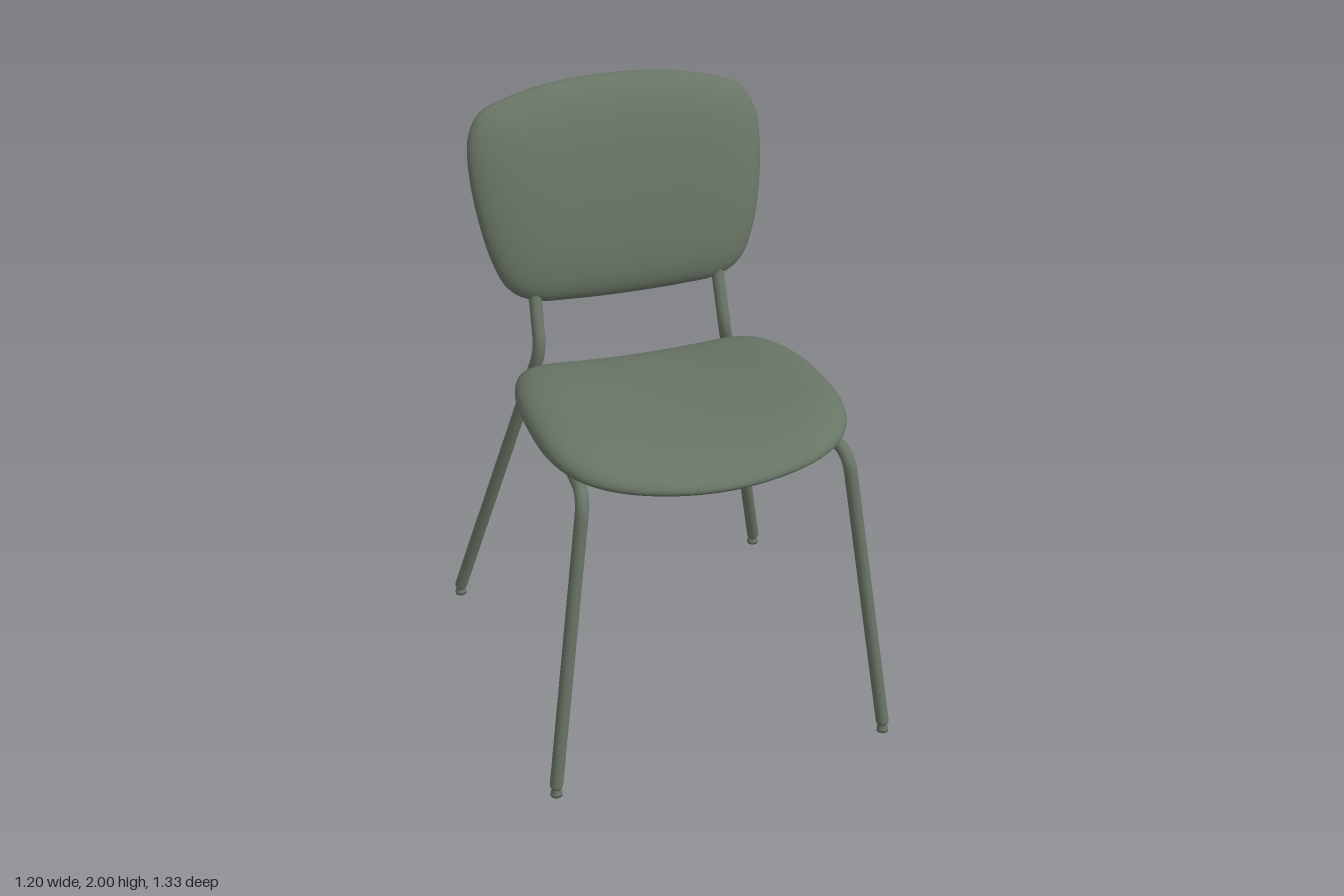
import * as THREE from 'three';
import { mergeVertices } from 'three/addons/utils/BufferGeometryUtils.js';

const green = new THREE.MeshStandardMaterial({ color: 0x687565 });
green.name = 'sage green';
const R = 0.022;
const V = (x, y, z) => new THREE.Vector3(x, y, z);

// Soft cushion: rings shrink from the mirrored outline to its centre, place() bends it
function cushion(name, half, centreV, place) {
  const mirrored = half.slice(1, -1).reverse().map(([u, v]) => [-u, v]);
  const curve = new THREE.CatmullRomCurve3(
    [...half, ...mirrored].map(([u, v]) => V(u, v, 0)), true, 'centripetal');
  const n = 96, rings = 40, pos = [], index = [];
  const outline = curve.getSpacedPoints(n).slice(0, n);
  for (let i = 0; i <= rings; i++) {
    const a = (i / rings) * Math.PI;
    const s = i % rings === 0 ? 0 : Math.sqrt(Math.sin(a));
    const h = Math.sign(Math.cos(a)) * Math.sqrt(Math.max(0, 1 - s ** 5));
    for (const p of outline) {
      pos.push(...place(p.x * s, centreV + (p.y - centreV) * s, i * 2 === rings ? 0 : h));
    }
  }
  for (let i = 0; i < rings; i++) {
    for (let j = 0; j < n; j++) {
      const k = (j + 1) % n;
      const a = i * n + j, b = a + n, c = (i + 1) * n + k, d = i * n + k;
      if (i < rings - 1) index.push(a, b, c);
      if (i > 0) index.push(a, c, d);
    }
  }
  let geo = new THREE.BufferGeometry();
  geo.setAttribute('position', new THREE.Float32BufferAttribute(pos, 3));
  geo.setIndex(index);
  geo = mergeVertices(geo, 1e-5);
  geo.computeVertexNormals();
  const mesh = new THREE.Mesh(geo, green);
  mesh.name = name;
  return mesh;
}

// Bent steel tube with rounded corners and domed ends
function bentTube(name, points, bend) {
  const path = new THREE.CurvePath();
  let from = points[0];
  for (let i = 1; i < points.length - 1; i++) {
    const p = points[i];
    const a = p.clone().add(points[i - 1].clone().sub(p).setLength(bend));
    const b = p.clone().add(points[i + 1].clone().sub(p).setLength(bend));
    path.add(new THREE.LineCurve3(from, a));
    path.add(new THREE.QuadraticBezierCurve3(a, p, b));
    from = b;
  }
  const last = points[points.length - 1];
  path.add(new THREE.LineCurve3(from, last));
  const group = new THREE.Group();
  group.name = name;
  group.add(new THREE.Mesh(new THREE.TubeGeometry(path, 80, R, 16), green));
  for (const p of [points[0], last]) {
    const cap = new THREE.Mesh(new THREE.SphereGeometry(R, 16, 10), green);
    cap.position.copy(p);
    group.add(cap);
  }
  return group;
}

export function createModel() {
  const chair = new THREE.Group();
  chair.name = 'chair';

  // Seat: dished across with fuller sides, falling at the front and back
  const seatOutline = [[0, 0.65], [0.17, 0.635], [0.33, 0.592], [0.43, 0.53], [0.485, 0.45],
    [0.512, 0.35], [0.518, 0.22], [0.505, 0], [0.472, -0.15], [0.425, -0.25], [0.365, -0.293],
    [0.2, -0.315], [0, -0.32]];
  chair.add(cushion('seat', seatOutline, 0.17, (x, z, h) => {
    const fall = z > 0.3 ? 0.03 * ((z - 0.3) / 0.35) ** 2 : 0.04 * ((0.3 - z) / 0.62) ** 2;
    const dish = (x / 0.52) ** 2;
    const thick = h > 0 ? 0.055 + 0.04 * dish : 0.053;
    return [x, 1.09 - fall + 0.03 * dish + h * thick, z];
  }));

  // Backrest: leaning back and slightly wrapped round the sitter
  const backOutline = [[0, 1.27], [0.2, 1.275], [0.34, 1.29], [0.42, 1.34], [0.465, 1.43],
    [0.5, 1.57], [0.518, 1.74], [0.508, 1.85], [0.465, 1.92], [0.38, 1.955],
    [0.2, 1.99], [0, 2]];
  chair.add(cushion('backrest', backOutline, 1.64, (x, y, h) => {
    const t = (y - 1.27) / 0.73;
    return [x, y, -0.405 - 0.11 * t - 0.085 * t * t + 0.01 * (x / 0.52) ** 2 + h * 0.075];
  }));

  for (const s of [1, -1]) {
    const side = s > 0 ? 'left' : 'right';
    // Front leg turning into the seat rail
    chair.add(bentTube(side + 'FrontLegAndRail', [V(s * 0.578, 0.04, 0.645),
      V(s * 0.445, 1.072, 0.565), V(s * 0.365, 1.005, -0.35)], 0.08));
    // Rear leg turning into the backrest upright
    chair.add(bentTube(side + 'RearLegAndUpright', [V(s * 0.578, 0.04, -0.642),
      V(s * 0.335, 1.13, -0.325), V(s * 0.33, 1.31, -0.39),
      V(s * 0.33, 1.42, -0.42)], 0.05));
    // Floor glides: a disc on a narrow neck
    for (const z of [0.647, -0.647]) {
      const profile = [[0, 0], [0.02, 0], [0.02, 0.012], [0.014, 0.014], [0.014, 0.035]];
      const foot = new THREE.Mesh(
        new THREE.LatheGeometry(profile.map(([r, y]) => new THREE.Vector2(r, y)), 16), green);
      foot.name = side + (z > 0 ? 'FrontFoot' : 'RearFoot');
      foot.position.set(s * 0.579, 0, z);
      chair.add(foot);
    }
  }

  // Curved cross bars under the seat: z, end x, end y, middle y
  for (const [name, z, x, y, mid] of [['frontCrossBar', 0.43, 0.43, 1.055, 1.01],
    ['rearCrossBar', -0.105, 0.385, 1.022, 0.997]]) {
    const curve = new THREE.QuadraticBezierCurve3(V(-x, y, z), V(0, 2 * mid - y, z), V(x, y, z));
    const bar = new THREE.Mesh(new THREE.TubeGeometry(curve, 32, 0.02, 12), green);
    bar.name = name;
    chair.add(bar);
  }
  return chair;
}
